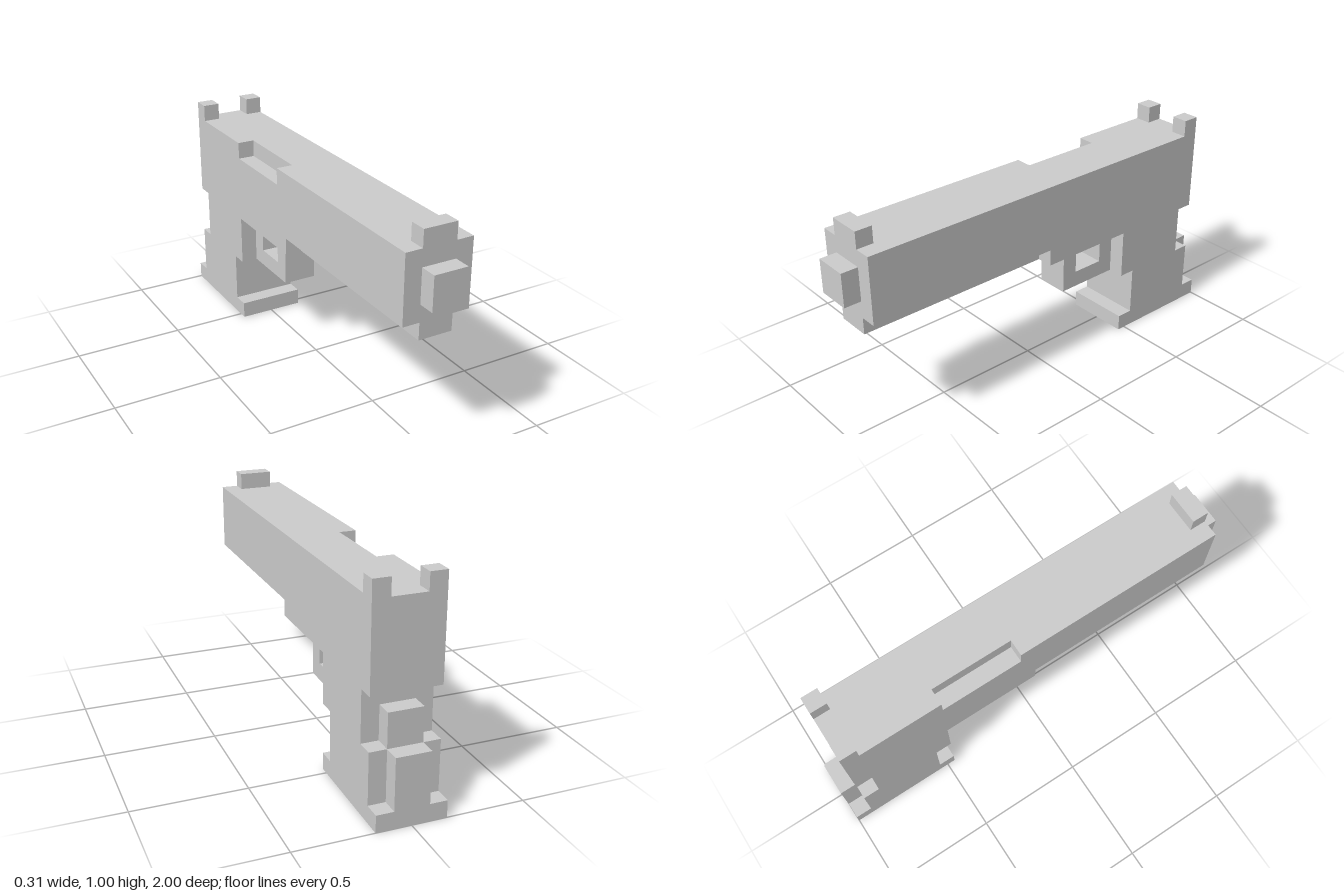
import * as THREE from 'three';

const U = 1 / 13; // one block of the model's grid
const material = new THREE.MeshStandardMaterial({ color: 0xcccccc, flatShading: true });

const toShape = (pts) => new THREE.Shape(pts.map(([a, b]) => new THREE.Vector2(a * U, b * U)));
const extrude = (shape, depth) =>
  new THREE.ExtrudeGeometry(shape, { depth: depth * U, bevelEnabled: false });

export function createModel() {
  const group = new THREE.Group();
  group.name = 'blockPistol';

  const add = (name, geometry) => {
    const mesh = new THREE.Mesh(geometry, material);
    mesh.name = name;
    group.add(mesh);
  };
  // Box given by its ranges in grid units
  const block = (name, [x0, x1], [y0, y1], [z0, z1]) => add(name,
    new THREE.BoxGeometry((x1 - x0) * U, (y1 - y0) * U, (z1 - z0) * U)
      .translate((x0 + x1) / 2 * U, (y0 + y1) / 2 * U, (z0 + z1) / 2 * U));
  // Side profile of [z, y] points, centred across x
  const side = (name, pts, width) => add(name,
    extrude(toShape(pts), width).rotateY(-Math.PI / 2).translate(width / 2 * U, 0, 0));

  // Full-width slide, grip and base in one silhouette
  side('frame', [
    [12, 11], [12, 8], [0, 8], [0, 7], [-6, 7], [-6, 4], [-7, 4], [-7, 1], [-6, 1], [-6, 0],
    [-13, 0], [-13, 1], [-12, 1], [-12, 4], [-11, 4], [-11, 7], [-12, 7], [-12, 11],
  ], 4);

  // Top layer of the slide, with the ejection port cut into its right edge
  const top = toShape([
    [-2, -12], [2, -12], [2, 12], [-2, 12], [-2, -1], [-1, -1], [-1, -6], [-2, -6],
  ]);
  add('slideTop', extrude(top, 1).rotateX(Math.PI / 2).translate(0, 12 * U, 0));

  // Narrow parts on the centre line
  block('underRail', [-1, 1], [7, 8], [0, 12]);
  block('muzzle', [-1, 1], [9, 11], [12, 13]);
  block('frontSight', [-1, 1], [12, 13], [11, 12]);
  block('upperBackstrap', [-1, 1], [4, 6], [-12, -11]);
  block('lowerBackstrap', [-1, 1], [1, 4], [-13, -12]);

  // U-shaped trigger guard
  side('triggerGuard', [
    [-2, 7], [-2, 4], [-6, 4], [-6, 7], [-5, 7], [-5, 5], [-3, 5], [-3, 7],
  ], 2);

  // Rear sight posts
  block('rearSightLeft', [1, 2], [12, 13], [-12, -11]);
  block('rearSightRight', [-2, -1], [12, 13], [-12, -11]);

  return group;
}
